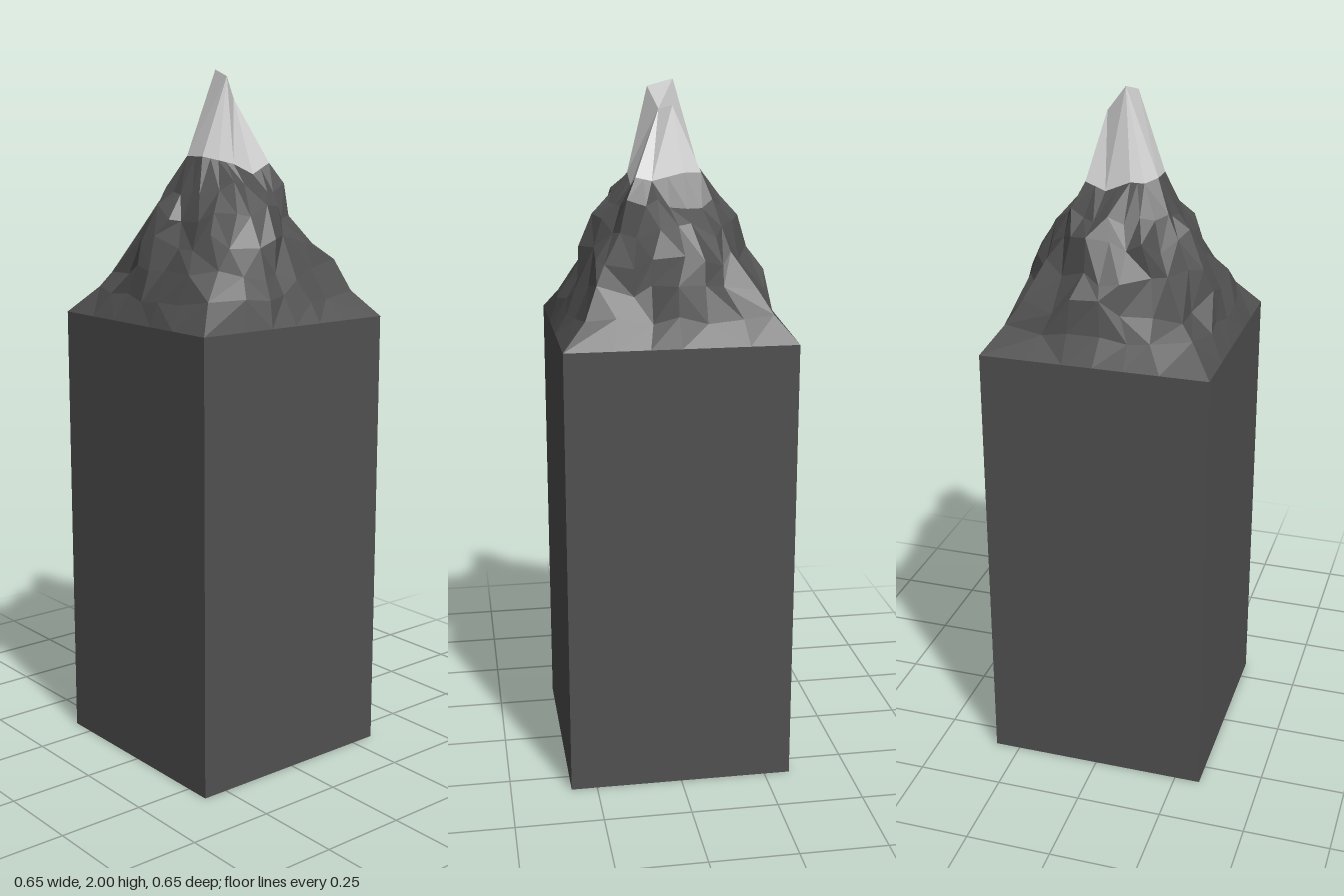
import * as THREE from 'three';

const WIDTH = 0.65, BASE_HEIGHT = 1.305, SEGMENTS = 24;

// Small seeded generator, returns 0..1
function makeRandom(seed) {
  let s = seed;
  return () => (s = (s * 16807) % 2147483647) / 2147483647;
}

const rockMaterial = new THREE.MeshStandardMaterial({ color: 0x505050, flatShading: true });
const snowMaterial = new THREE.MeshStandardMaterial({ color: 0xdddddd, flatShading: true });

function facetMesh(name, triangles, material) {
  const geometry = new THREE.BufferGeometry().setFromPoints(triangles.flat());
  geometry.computeVertexNormals();
  const mesh = new THREE.Mesh(geometry, material);
  mesh.name = name;
  return mesh;
}

// Lower edge of the snow, shared with the top of the rock
const snowEdge = [
  [0.1, 1.74, 0.04], [0.07, 1.75, 0.07], [0.035, 1.76, 0.1], [-0.035, 1.76, 0.1],
  [-0.067, 1.75, 0.07], [-0.1, 1.76, 0.04], [-0.1, 1.73, -0.03], [-0.09, 1.75, -0.09],
  [-0.04, 1.75, -0.09], [0.05, 1.73, -0.1], [0.095, 1.74, -0.095], [0.1, 1.71, -0.03],
].map(p => new THREE.Vector3(...p));

// Rock rings: height, half width, squareness, roughness
const rockRings = [
  [BASE_HEIGHT, WIDTH / 2, 1, 0],
  [1.375, 0.299, 0.6, 0.5],
  [1.45, 0.275, 0.3, 1],
  [1.53, 0.238, 0.2, 1],
  [1.605, 0.195, 0.25, 1],
  [1.675, 0.153, 0.3, 0.7],
];

function buildRock() {
  const random = makeRandom(4711);
  const rings = rockRings.map(([height, half, square, rough]) =>
    Array.from({ length: SEGMENTS }, (_, j) => {
      const a = THREE.MathUtils.degToRad(15 + 15 * j + (random() - 0.5) * 9 * rough);
      const toSquare = 1 / Math.max(Math.abs(Math.cos(a)), Math.abs(Math.sin(a)));
      const r = half * THREE.MathUtils.lerp(1, toSquare, square) * (1 + (random() * 0.17 - 0.11) * rough);
      const y = height + (random() - 0.5) * 0.055 * rough;
      return new THREE.Vector3(r * Math.cos(a), y, r * Math.sin(a));
    }));
  // Last ring follows the snow edge, with a point halfway along each edge
  rings.push(snowEdge.flatMap((p, i) => [p, p.clone().lerp(snowEdge[(i + 1) % 12], 0.5)]));

  const triangles = [];
  for (let k = 0; k < rings.length - 1; k++) {
    for (let j = 0; j < SEGMENTS; j++) {
      const n = (j + 1) % SEGMENTS;
      const a = rings[k][j], b = rings[k][n], c = rings[k + 1][j], d = rings[k + 1][n];
      // Vary the diagonal for irregular facets
      if (random() < 0.5) triangles.push([a, c, b], [b, c, d]);
      else triangles.push([a, c, d], [a, d, b]);
    }
  }
  return facetMesh('rockyPeak', triangles, rockMaterial);
}

function buildSnow() {
  const peaks = [[0.045, 1.98, 0.02], [-0.025, 2, 0.005], [-0.015, 1.93, -0.05], [0.02, 1.92, -0.025]]
    .map(p => new THREE.Vector3(...p));
  const [b, a, d, c] = peaks;
  const triangles = [[a, b, c], [a, c, d]];
  // Peak that each edge segment rises to
  const target = [0, 0, 0, 1, 1, 1, 2, 2, 2, 3, 3, 3];
  for (let i = 0; i < 12; i++) {
    const n = (i + 1) % 12;
    const top = peaks[target[i]], next = peaks[target[n]];
    triangles.push([snowEdge[i], top, snowEdge[n]]);
    if (top !== next) triangles.push([snowEdge[n], top, next]);
  }
  return facetMesh('snowCap', triangles, snowMaterial);
}

export function createModel() {
  const model = new THREE.Group();
  model.name = 'mountainPillar';

  const pillar = new THREE.Mesh(new THREE.BoxGeometry(WIDTH, BASE_HEIGHT, WIDTH), rockMaterial);
  pillar.name = 'pillar';
  pillar.position.y = BASE_HEIGHT / 2;

  model.add(pillar, buildRock(), buildSnow());
  return model;
}
